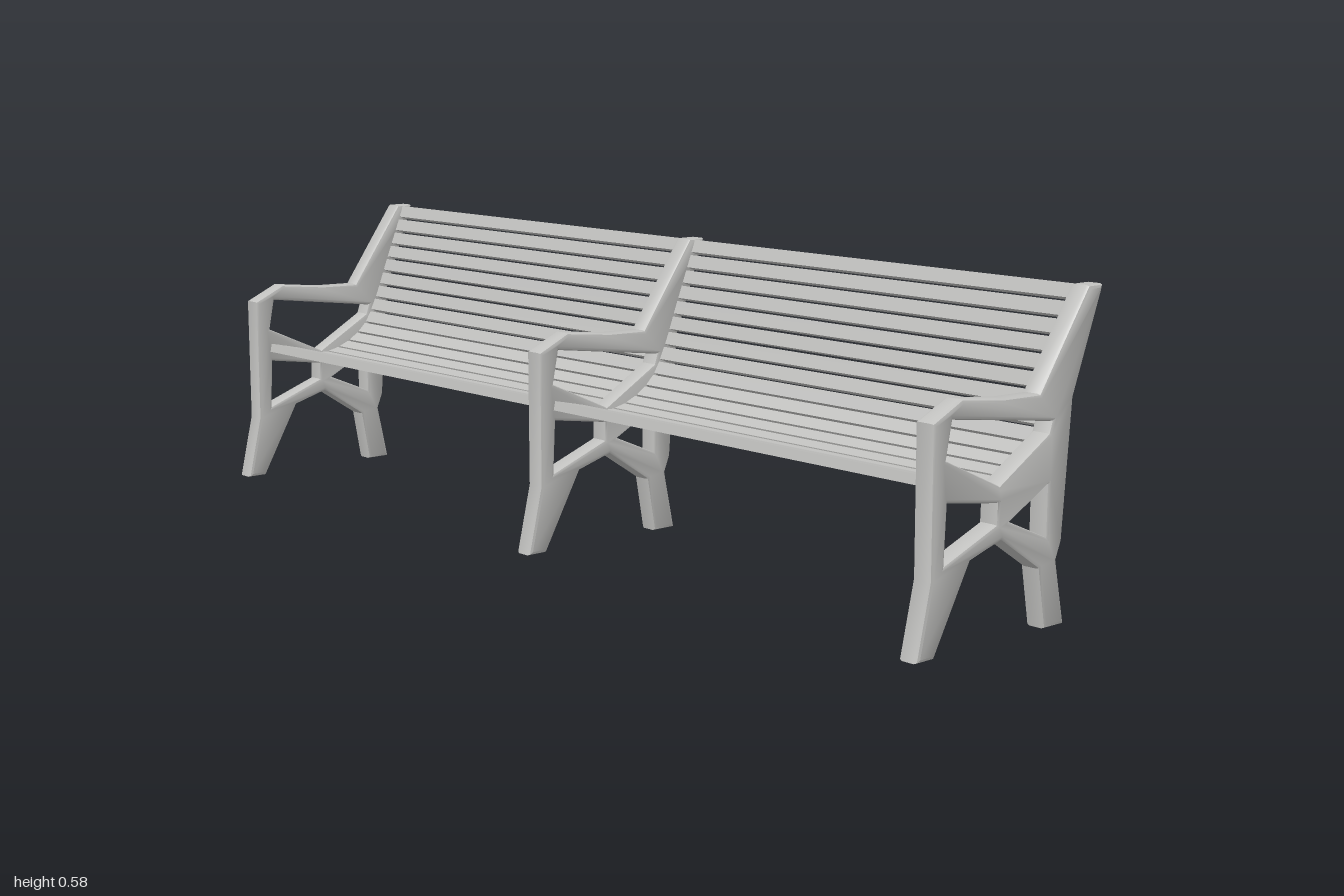
import * as THREE from 'three';
import { toCreasedNormals } from 'three/addons/utils/BufferGeometryUtils.js';

const points = list => list.map(([z, y]) => new THREE.Vector2(z, y));

// Side profile of one support frame, as [z, y]
const OUTLINE = [
  [0.228, 0.002], [0.198, 0.133], [0.2, 0.392], [0.13, 0.424], [0.02, 0.412], [-0.068, 0.41],
  [-0.19, 0.582], [-0.228, 0.582], [-0.225, 0.57], [-0.157, 0.395], [-0.138, 0.15],
  [-0.125, 0.118], [-0.15, 0.002], [-0.097, 0.002], [-0.077, 0.11], [0.023, 0.174],
  [0.1, 0.152], [0.185, 0.002],
];
const HOLES = [
  [[0.152, 0.393], [0.165, 0.328], [0.03, 0.268], [-0.095, 0.34], [-0.102, 0.36]],
  [[0.16, 0.257], [0.035, 0.239], [0.036, 0.203], [0.165, 0.155]],
  [[0.022, 0.238], [-0.095, 0.252], [-0.095, 0.163], [0.008, 0.206]],
];

function frameGeometry(width, bevel) {
  const shape = new THREE.Shape(points(OUTLINE));
  shape.holes = HOLES.map(h => new THREE.Path(points(h)));
  const geo = new THREE.ExtrudeGeometry(shape, {
    depth: width - 2 * bevel, bevelEnabled: true, bevelThickness: bevel,
    bevelSize: bevel, bevelOffset: -bevel, bevelSegments: 2,
  });
  geo.translate(0, 0, -width / 2 + bevel);
  geo.rotateY(-Math.PI / 2);
  return toCreasedNormals(geo, 0.6);
}

export function createModel() {
  const group = new THREE.Group();
  group.name = 'bench';
  const grey = new THREE.MeshStandardMaterial({ color: 0xc0c0be });
  grey.name = 'light grey';

  // Three support frames: both ends and the middle
  const frame = frameGeometry(0.04, 0.007);
  [['rightFrame', -0.98], ['middleFrame', 0], ['leftFrame', 0.98]].forEach(([name, x]) => {
    const mesh = new THREE.Mesh(frame, grey);
    mesh.name = name;
    mesh.position.x = x;
    group.add(mesh);
  });

  // Slats follow one curve from the seat's front edge to the top of the backrest
  const path = new THREE.CatmullRomCurve3([
    [0.168, 0.288], [0.1, 0.273], [0.03, 0.255], [-0.04, 0.272], [-0.095, 0.312],
    [-0.128, 0.37], [-0.16, 0.45], [-0.212, 0.58],
  ].map(([z, y]) => new THREE.Vector3(0, y, z)));
  const count = 18;
  const pitch = path.getLength() / count;
  const slat = new THREE.BoxGeometry(1.94, 0.018, pitch * 0.8);
  const slats = new THREE.Group();
  slats.name = 'slats';
  for (let i = 0; i < count; i++) {
    const u = (i + 0.5) / count;
    const t = path.getTangentAt(u);
    const mesh = new THREE.Mesh(slat, grey);
    mesh.name = u < 0.55 ? 'seatSlat' : 'backSlat';
    mesh.position.copy(path.getPointAt(u));
    // Turn by the slope, keeping the upper face towards the sitter
    mesh.rotation.x = Math.atan2(t.y, -t.z);
    slats.add(mesh);
  }
  group.add(slats);
  return group;
}
